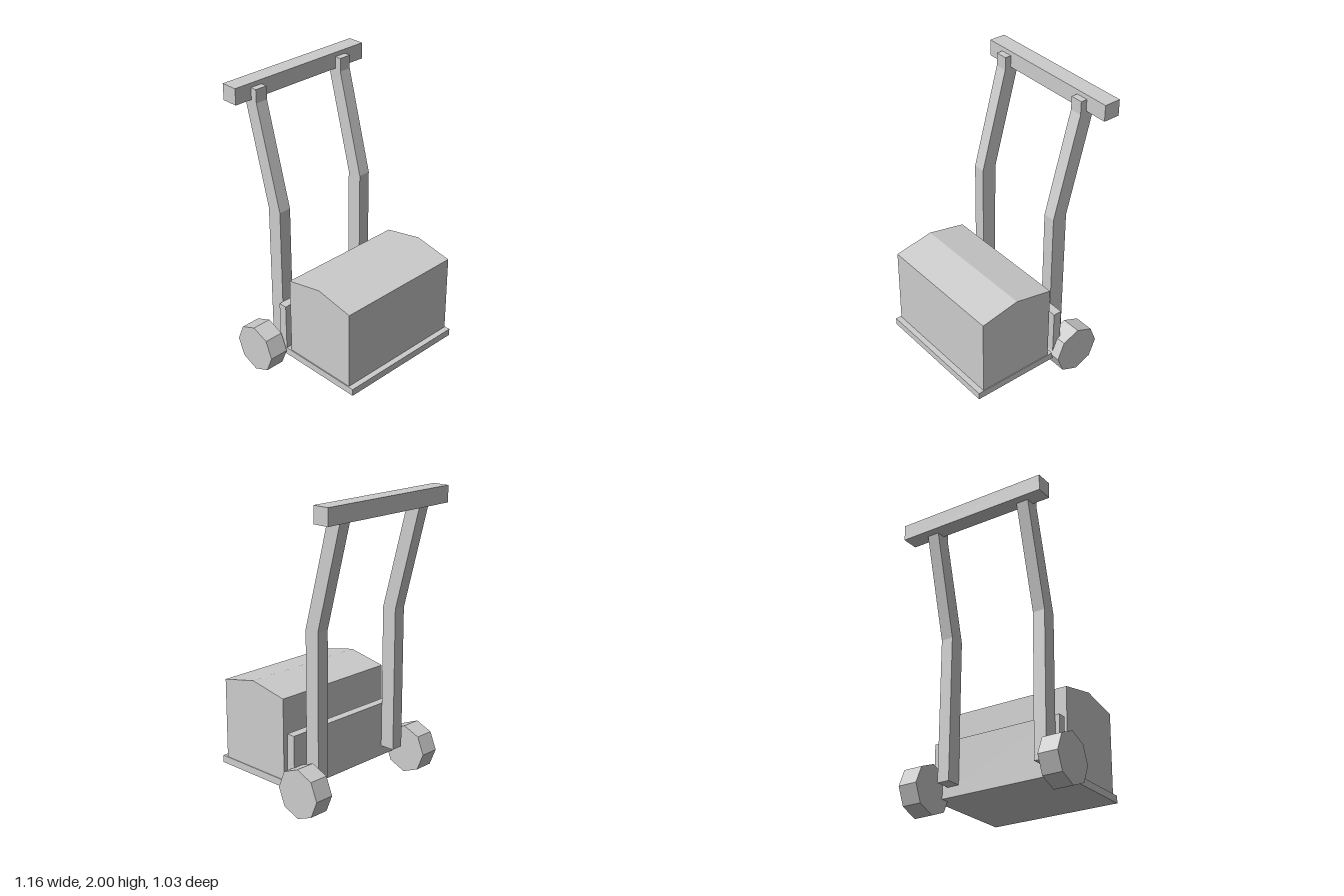
import * as THREE from 'three';

const grey = new THREE.MeshStandardMaterial({ color: 0xcccccc });
grey.name = 'light grey';
grey.flatShading = true;

// Side profile of [z, y] points, extruded along x from x0 to x1
function profile(name, points, x0, x1) {
  const shape = new THREE.Shape(points.map(([z, y]) => new THREE.Vector2(-z, y)));
  const geometry = new THREE.ExtrudeGeometry(shape, { depth: x1 - x0, bevelEnabled: false });
  geometry.rotateY(Math.PI / 2);
  geometry.translate(x0, 0, 0);
  const mesh = new THREE.Mesh(geometry, grey);
  mesh.name = name;
  return mesh;
}

export function createModel() {
  const model = new THREE.Group();
  model.name = 'handTruck';

  // L-shaped toe plate and back plate
  model.add(profile('loadPlate', [
    [0.515, 0.13], [0.515, 0.18], [-0.11, 0.18],
    [-0.11, 0.51], [-0.17, 0.51], [-0.17, 0.13],
  ], -0.43, 0.51));

  // Box with a shallow ridged lid
  model.add(profile('cargoBox', [
    [0.475, 0.18], [0.475, 0.73], [0.205, 0.785], [-0.07, 0.73], [-0.07, 0.18],
  ], -0.423, 0.505));

  // Crossbar grip
  model.add(profile('handleBar', [
    [-0.4, 1.89], [-0.4, 2], [-0.515, 2], [-0.515, 1.89],
  ], -0.525, 0.56));

  for (const [side, label] of [[1, 'left'], [-1, 'right']]) {
    // Bent upright
    const x = side * 0.358;
    model.add(profile(label + 'Upright', [
      [-0.17, 0.2], [-0.17, 1.185], [-0.355, 1.88], [-0.355, 1.97],
      [-0.46, 1.97], [-0.46, 1.89], [-0.275, 1.185], [-0.275, 0.2],
    ], x - 0.043, x + 0.043));

    // Octagonal wheel
    const wheel = new THREE.Mesh(new THREE.CylinderGeometry(0.168, 0.168, 0.136, 8), grey);
    wheel.name = label + 'Wheel';
    wheel.rotation.z = Math.PI / 2;
    wheel.position.set(side * 0.51, 0.168, -0.267);
    model.add(wheel);
  }
  return model;
}
